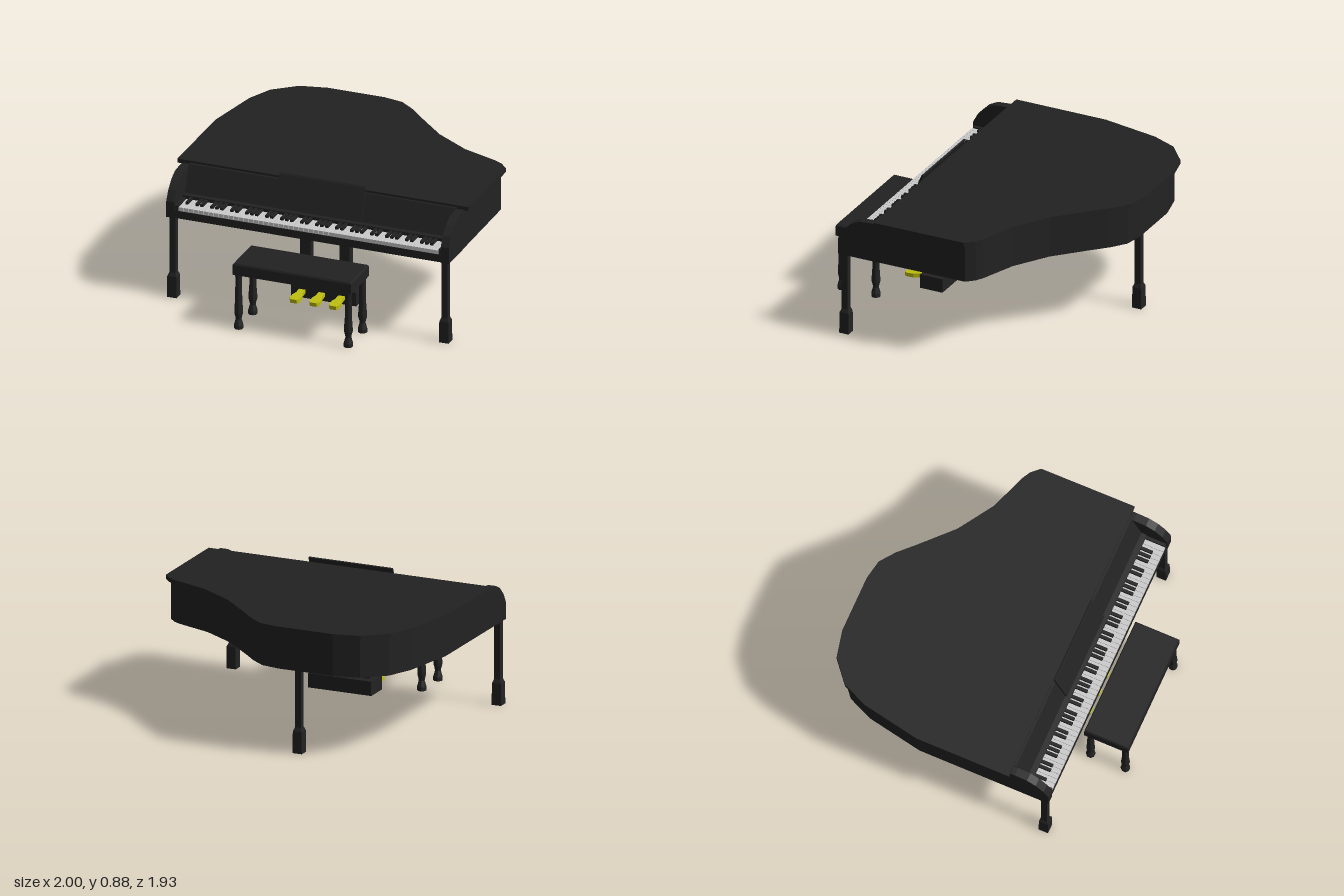
import * as THREE from 'three';
import { mergeGeometries } from 'three/addons/utils/BufferGeometryUtils.js';

const black = new THREE.MeshStandardMaterial({ color: 0x222222, flatShading: true });
const ivory = new THREE.MeshStandardMaterial({ color: 0xcccccc });
const brass = new THREE.MeshStandardMaterial({ color: 0xc0c010 });

const toShape = (pts) => new THREE.Shape(pts.map(([a, b]) => new THREE.Vector2(a, b)));

// Box given by its minimum and maximum corners
function span(x0, x1, y0, y1, z0, z1) {
  return new THREE.BoxGeometry(x1 - x0, y1 - y0, z1 - z0)
    .translate((x0 + x1) / 2, (y0 + y1) / 2, (z0 + z1) / 2);
}

// Plan outline of [x, z] points extruded upwards from y0 to y1
function slab(pts, y0, y1) {
  return new THREE.ExtrudeGeometry(toShape(pts.map(([x, z]) => [x, -z])), { depth: y1 - y0, bevelEnabled: false })
    .rotateX(-Math.PI / 2).translate(0, y0, 0);
}

// Side profile of [z, y] points extruded across from x0 to x1
function sideProfile(pts, x0, x1) {
  return new THREE.ExtrudeGeometry(toShape(pts), { depth: x1 - x0, bevelEnabled: false })
    .rotateY(-Math.PI / 2).translate(x1, 0, 0);
}

// Four-sided block with different half-widths at bottom and top
function taperedBlock(bottom, top, y0, y1) {
  return new THREE.CylinderGeometry(top * Math.SQRT2, bottom * Math.SQRT2, y1 - y0, 4)
    .rotateY(Math.PI / 4).translate(0, (y0 + y1) / 2, 0);
}

export function createModel() {
  const model = new THREE.Group();
  const add = (name, geometry, material = black, parent = model) => {
    const mesh = new THREE.Mesh(geometry, material);
    mesh.name = name;
    parent.add(mesh);
    return mesh;
  };

  // Curved lid, and the case following it a little further in
  const outline = [
    [-1, 0.4], [-1, -0.24], [-0.925, -0.63], [-0.85, -0.8], [-0.7, -0.925], [-0.52, -0.965],
    [-0.13, -0.965], [0, -0.94], [0.1, -0.865], [0.2, -0.765], [0.405, -0.57], [0.64, -0.42],
    [0.885, -0.33], [0.94, -0.3], [0.99, -0.245], [0.995, 0.4],
  ];
  add('lid', slab(outline, 0.822, 0.85));
  add('case', slab(outline.map(([x, z]) => [x * 0.97, z * 0.965]), 0.56, 0.822));

  // Rounded cheeks at both ends of the keyboard
  const cheek = [
    [0.38, 0.56], [0.665, 0.56], [0.665, 0.67], [0.63, 0.735],
    [0.575, 0.79], [0.515, 0.82], [0.43, 0.826], [0.38, 0.826],
  ];
  add('rightCheek', sideProfile(cheek, -0.97, -0.915));
  add('leftCheek', sideProfile(cheek, 0.912, 0.967));

  // Key bed, end blocks, sloping fallboard and music desk
  add('keyBed', span(-0.92, 0.92, 0.56, 0.612, 0.38, 0.66));
  for (const s of [-1, 1]) {
    add('keyBlock', span(s * 0.904 - 0.012, s * 0.904 + 0.012, 0.61, 0.645, 0.5, 0.655));
  }
  add('fallboard', sideProfile([
    [0.38, 0.61], [0.52, 0.61], [0.52, 0.66], [0.485, 0.662], [0.415, 0.835], [0.38, 0.835],
  ], -0.915, 0.915));
  add('musicDesk', sideProfile([[0.48, 0.662], [0.497, 0.666], [0.418, 0.868], [0.411, 0.88], [0.402, 0.876]], -0.295, 0.295));

  // Fifty-two white keys, with black keys in groups of two and three
  const pitch = 1.78 / 52, whites = [], blacks = [];
  for (let i = 0; i < 52; i++) {
    const x = -0.89 + i * pitch;
    whites.push(span(x + 0.001, x + pitch - 0.001, 0.612, 0.638, 0.51, 0.658));
    if (i < 51 && [0, 2, 3, 5, 6].includes(i % 7)) {
      blacks.push(span(x + pitch - 0.01, x + pitch + 0.01, 0.63, 0.655, 0.51, 0.6));
    }
  }
  add('whiteKeys', mergeGeometries(whites), ivory);
  add('blackKeys', mergeGeometries(blacks));

  // Three square legs with heavier feet
  for (const [x, z] of [[-0.935, 0.627], [0.93, 0.627], [-0.24, -0.865]]) {
    const leg = new THREE.Group();
    leg.name = 'leg';
    leg.position.set(x, 0, z);
    add('legPost', taperedBlock(0.021, 0.021, 0.15, 0.565), black, leg);
    add('legFoot', taperedBlock(0.033, 0.031, 0, 0.145), black, leg);
    add('legCollar', taperedBlock(0.031, 0.021, 0.145, 0.17), black, leg);
    model.add(leg);
  }

  // Pedal box hung on two posts
  add('pedalBox', span(-0.2, 0.245, 0.05, 0.145, 0.29, 0.45));
  for (const x of [-0.125, 0.145]) {
    add('pedalPost', span(x - 0.035, x + 0.035, 0.14, 0.565, 0.345, 0.398));
  }

  // Pedals that widen towards a rounded toe
  const pedalPlan = [
    [-0.022, 0], [-0.022, 0.05], [-0.034, 0.085], [-0.034, 0.13], [-0.022, 0.15],
    [0.022, 0.15], [0.034, 0.13], [0.034, 0.085], [0.022, 0.05], [0.022, 0],
  ];
  for (const x of [-0.125, 0.01, 0.145]) {
    const pedal = add('pedal', slab(pedalPlan, -0.013, 0.013), brass);
    pedal.position.set(x, 0.095, 0.447);
    pedal.rotation.x = 0.07;
  }

  // Bench: seat with a slightly bevelled top edge on four turned legs
  const bench = new THREE.Group();
  bench.name = 'bench';
  model.add(bench);
  const seat = new THREE.BoxGeometry(0.812, 0.08, 0.305, 1, 2, 1);
  const p = seat.attributes.position;
  for (let i = 0; i < p.count; i++) {
    if (p.getY(i) > 0.03) {
      p.setX(i, p.getX(i) * 0.98);
      p.setZ(i, p.getZ(i) * 0.96);
    } else if (p.getY(i) > -0.03) p.setY(i, 0.028);
  }
  seat.computeVertexNormals();
  add('benchSeat', seat.translate(0.011, 0.42, 0.812), black, bench);

  const turned = [
    [0, 0], [0.03, 0], [0.03, 0.025], [0.019, 0.065], [0.021, 0.08], [0.028, 0.105],
    [0.028, 0.13], [0.023, 0.2], [0.021, 0.35], [0.024, 0.385],
  ].map(([r, y]) => new THREE.Vector2(r, y));
  for (const x of [-0.365, 0.387]) {
    for (const z of [0.692, 0.933]) {
      const leg = add('benchLeg', new THREE.LatheGeometry(turned, 8, Math.PI / 8), black, bench);
      leg.position.set(x, 0, z);
    }
  }
  return model;
}
